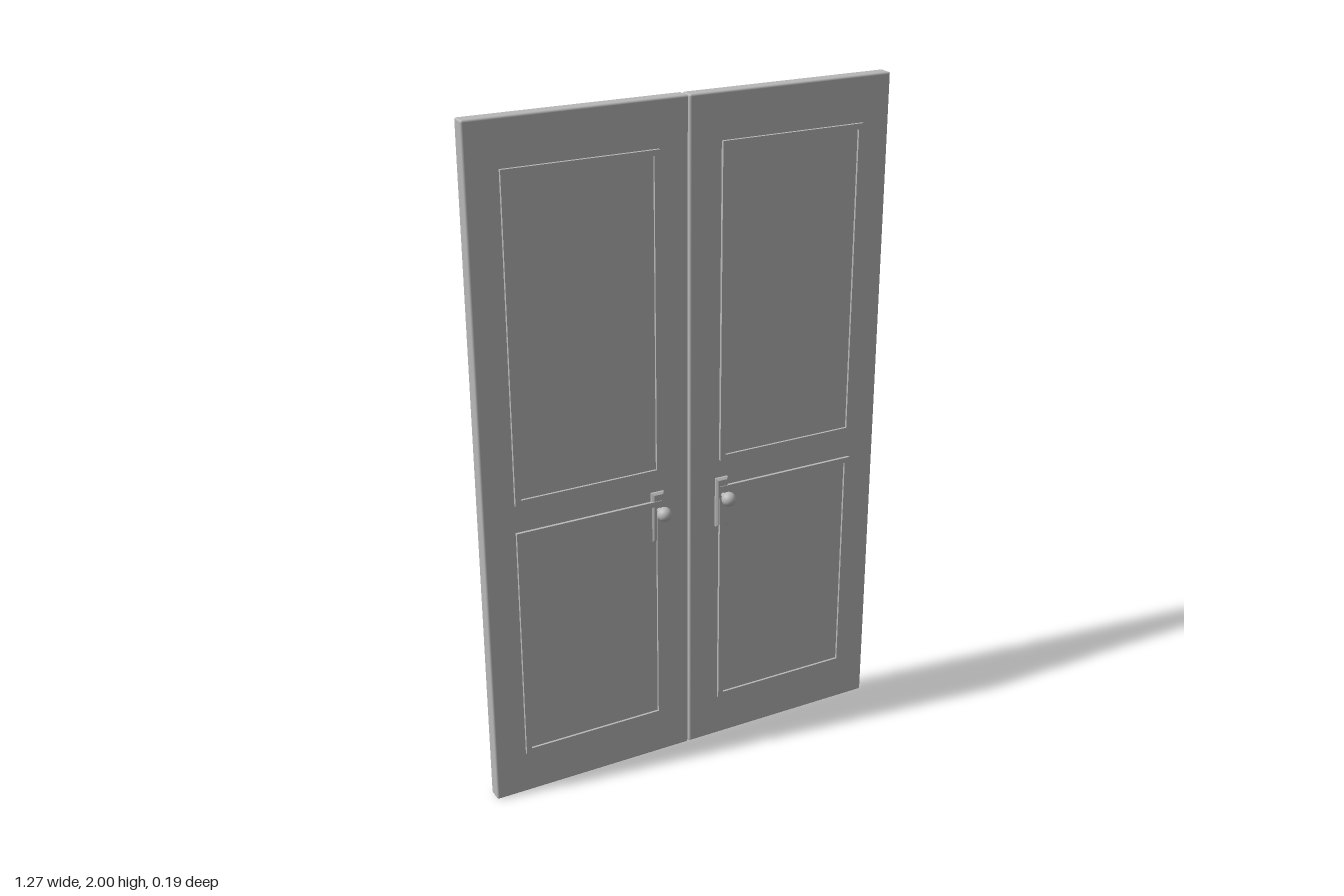
import * as THREE from 'three';
import { RoundedBoxGeometry } from 'three/addons/geometries/RoundedBoxGeometry.js';

const paint = new THREE.MeshStandardMaterial({ color: 0xb8b8b8 });
paint.name = 'doorGrey';

function add(parent, name, geometry, x = 0, y = 0, z = 0) {
  const mesh = new THREE.Mesh(geometry, paint);
  mesh.name = name;
  mesh.position.set(x, y, z);
  parent.add(mesh);
  return mesh;
}

function rectangle(Type, x0, y0, x1, y1) {
  return new Type([
    new THREE.Vector2(x0, y0), new THREE.Vector2(x1, y0),
    new THREE.Vector2(x1, y1), new THREE.Vector2(x0, y1),
  ]);
}

// Raised panel: a narrower backing board with an overhanging rim around it
function addPanel(parent, name, y0, y1) {
  const x0 = 0.095, x1 = 0.543, rim = 0.016, inset = 0.012;
  const panel = new THREE.Group();
  panel.name = name;
  parent.add(panel);
  add(panel, 'panelBoard',
    new THREE.BoxGeometry(x1 - x0 - 2 * inset, y1 - y0 - 2 * inset, 0.012),
    (x0 + x1) / 2, (y0 + y1) / 2, 0.025);
  const shape = rectangle(THREE.Shape, x0, y0, x1, y1);
  shape.holes.push(rectangle(THREE.Path, x0 + rim, y0 + rim, x1 - rim, y1 - rim));
  add(panel, 'panelRim',
    new THREE.ExtrudeGeometry(shape, { depth: 0.009, bevelEnabled: false }), 0, 0, 0.029);
}

// Chamfered back plate, stem and ball knob
function addHandle(parent) {
  const handle = new THREE.Group();
  handle.name = 'handle';
  parent.add(handle);
  const bevel = 0.006;
  const plate = rectangle(THREE.Shape, 0.085 + bevel, 0.725 + bevel, 0.125 - bevel, 0.88 - bevel);
  add(handle, 'handlePlate', new THREE.ExtrudeGeometry(plate, {
    depth: 0.006, bevelThickness: bevel, bevelSize: bevel, bevelSegments: 1,
  }), 0, 0, 0.024);
  add(handle, 'knobStem', new THREE.CylinderGeometry(0.007, 0.007, 0.036, 16), 0.105, 0.828, 0.046)
    .rotation.x = Math.PI / 2;
  add(handle, 'knob', new THREE.SphereGeometry(0.0215, 24, 16), 0.105, 0.828, 0.0715);
}

// Fittings for one face of the door on the +x side
function addFace(parent, name) {
  const face = new THREE.Group();
  face.name = name;
  parent.add(face);
  addPanel(face, 'upperPanel', 0.938, 1.87);
  addPanel(face, 'lowerPanel', 0.138, 0.855);
  addHandle(face);
  return face;
}

export function createModel() {
  const model = new THREE.Group();
  model.name = 'doubleDoor';
  for (const side of [1, -1]) {
    const door = new THREE.Group();
    door.name = side > 0 ? 'leftDoor' : 'rightDoor';
    add(door, 'doorSlab', new RoundedBoxGeometry(0.633, 2, 0.045, 2, 0.006), 0.3185, 1, 0);
    addFace(door, 'frontFace');
    addFace(door, 'backFace').scale.z = -1;
    door.scale.x = side;
    model.add(door);
  }
  return model;
}
